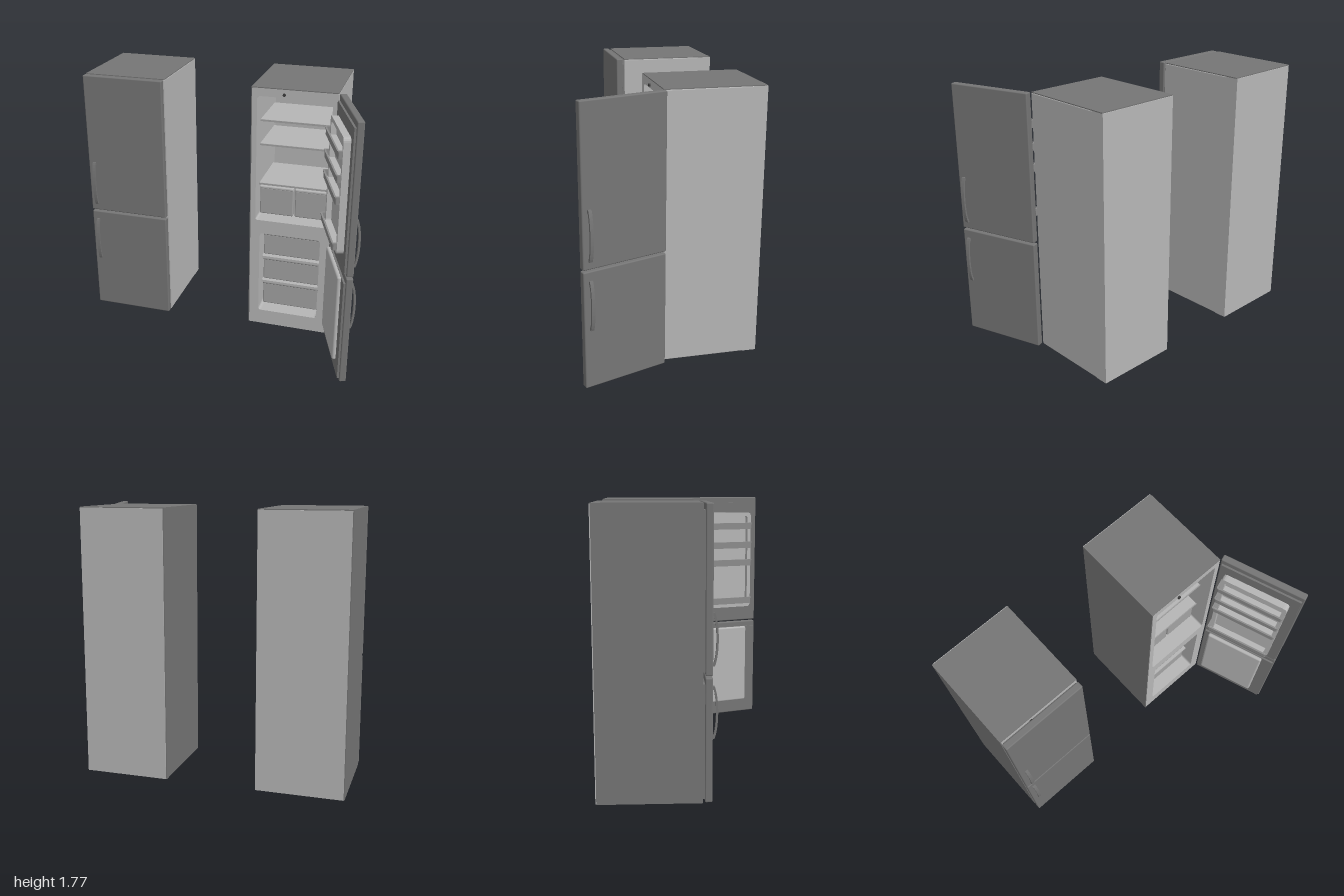
import * as THREE from 'three';
import { RoundedBoxGeometry } from 'three/addons/geometries/RoundedBoxGeometry.js';

const paint = (name, color) => {
  const m = new THREE.MeshStandardMaterial({ color });
  m.name = name;
  return m;
};
const light = paint('light liner', 0xb6b6b6);
const dark = paint('dark steel', 0x757575);
const mid = paint('drawer grey', 0xa2a2a2);
const binGrey = paint('bin grey', 0x8c8c8c);
const black = paint('knob black', 0x3c3c3c);

const H = 1.775, W = 0.57, FRONT = 0.05, BACK = -0.59;

function add(parent, name, geo, mat, x = 0, y = 0, z = 0) {
  const m = new THREE.Mesh(geo, mat);
  m.name = name;
  m.position.set(x, y, z);
  parent.add(m);
  return m;
}

// box given by its limits on each axis; r > 0 rounds the edges
function block(parent, name, mat, [x0, x1], [y0, y1], [z0, z1], r = 0) {
  const s = [x1 - x0, y1 - y0, z1 - z0];
  const geo = r ? new RoundedBoxGeometry(...s, 2, r) : new THREE.BoxGeometry(...s);
  return add(parent, name, geo, mat, (x0 + x1) / 2, (y0 + y1) / 2, (z0 + z1) / 2);
}

// rounded rectangle outline, as a Shape or as a Path for holes
function roundRect(Type, x0, x1, y0, y1, r) {
  const p = new Type();
  p.moveTo(x0 + r, y0);
  p.lineTo(x1 - r, y0).quadraticCurveTo(x1, y0, x1, y0 + r);
  p.lineTo(x1, y1 - r).quadraticCurveTo(x1, y1, x1 - r, y1);
  p.lineTo(x0 + r, y1).quadraticCurveTo(x0, y1, x0, y1 - r);
  p.lineTo(x0, y0 + r).quadraticCurveTo(x0, y0, x0 + r, y0);
  return p;
}

// extruded rectangular ring with wall thickness t
function ring(x0, x1, y0, y1, t, r, depth) {
  const s = roundRect(THREE.Shape, x0, x1, y0, y1, r);
  s.holes.push(roundRect(THREE.Path, x0 + t, x1 - t, y0 + t, y1 - t, r * 0.7));
  return new THREE.ExtrudeGeometry(s, { depth, bevelEnabled: false, curveSegments: 4 });
}

function makeCabinet() {
  const g = new THREE.Group();
  g.name = 'cabinet';
  const skin = 0.006, h = W / 2;

  // body with the two compartments cut out, and a closed back
  const body = roundRect(THREE.Shape, -h + skin, h, 0, H - skin, 0.006);
  body.holes.push(roundRect(THREE.Path, -0.245, 0.25, 0.83, 1.715, 0.015));
  body.holes.push(roundRect(THREE.Path, -0.212, 0.215, 0.11, 0.73, 0.02));
  const depth = FRONT - BACK - 0.09;
  add(g, 'cabinetBody', new THREE.ExtrudeGeometry(body, { depth, bevelEnabled: false, curveSegments: 4 }),
    light, 0, 0, FRONT - depth);
  block(g, 'cabinetBack', light, [-h + skin, h], [0, H - skin], [BACK, FRONT - depth]);

  // dark outer skins on the top and one side
  block(g, 'topPanel', dark, [-h, h], [H - skin, H], [BACK + 0.006, FRONT]);
  block(g, 'sidePanel', dark, [-h, -h + skin], [0, H], [BACK + 0.006, FRONT]);

  const knob = new THREE.CylinderGeometry(0.01, 0.01, 0.012, 16).rotateX(Math.PI / 2);
  add(g, 'lightSwitch', knob, black, -0.065, 1.735, FRONT + 0.006);

  // glass shelves with a slim front trim
  for (const y of [1.525, 1.355, 1.068]) {
    block(g, 'shelf', light, [-0.243, 0.248], [y - 0.004, y + 0.004], [-0.45, -0.04]);
    block(g, 'shelfTrim', mid, [-0.243, 0.248], [y - 0.006, y + 0.006], [-0.04, -0.034]);
  }

  // two crisper drawers side by side
  for (const [x0, x1] of [[-0.241, -0.004], [0.008, 0.246]]) {
    block(g, 'crisperDrawer', mid, [x0, x1], [0.834, 1.03], [-0.44, -0.06], 0.008);
    block(g, 'crisperLip', light, [x0, x1], [1.03, 1.048], [-0.44, -0.045], 0.006);
  }

  // three freezer drawers with shelves between them
  for (const [y0, y1] of [[0.115, 0.295], [0.32, 0.492], [0.52, 0.69]]) {
    block(g, 'freezerDrawer', mid, [-0.203, 0.207], [y0, y1 - 0.012], [-0.44, -0.05], 0.008);
    block(g, 'freezerDrawerLip', binGrey, [-0.203, 0.207], [y1 - 0.012, y1], [-0.44, -0.038], 0.005);
    block(g, 'freezerShelf', light, [-0.21, 0.213], [y1 + 0.004, y1 + 0.02], [-0.45, -0.03]);
  }
  return g;
}

// bowed flat bar whose ends meet the door
function makeHandle() {
  const s = new THREE.Shape();
  s.moveTo(0, -0.16);
  s.lineTo(0.014, -0.16);
  s.bezierCurveTo(0.043, -0.09, 0.043, 0.09, 0.014, 0.16);
  s.lineTo(0, 0.16);
  s.lineTo(0, 0.142);
  s.lineTo(0.008, 0.138);
  s.bezierCurveTo(0.028, 0.08, 0.028, -0.08, 0.008, -0.138);
  s.lineTo(0, -0.142);
  const geo = new THREE.ExtrudeGeometry(s, { depth: 0.022, bevelEnabled: false, curveSegments: 14 });
  return geo.rotateY(-Math.PI / 2).translate(0.011, 0, 0);
}

// doors hang from the hinge at x = 0 and reach towards -x; the inside faces -z
function makeDoors() {
  const g = new THREE.Group();
  g.name = 'doors';
  for (const [part, y0, y1, handleY] of [['fridge', 0.78, H, 0.99], ['freezer', 0.003, 0.768, 0.55]]) {
    block(g, part + 'Door', dark, [-W, 0], [y0, y1], [0.013, 0.058], 0.008);
    block(g, part + 'DoorSeal', dark, [-W + 0.012, -0.012], [y0 + 0.02, y1 - 0.04], [0, 0.015]);
    add(g, part + 'Handle', makeHandle(), dark, -0.525, handleY, 0.056);
  }

  // upper liner: raised rim around a flat panel
  add(g, 'fridgeDoorRim', ring(-0.5, -0.045, 0.9, 1.655, 0.028, 0.03, 0.044), light, 0, 0, -0.044);
  block(g, 'fridgeDoorPanel', light, [-0.48, -0.06], [0.92, 1.64], [-0.008, 0]);

  // bottle bins
  for (const y of [0.93, 1.235, 1.375, 1.525]) {
    const wall = ring(-0.495, -0.04, -0.005, 0.072, 0.006, 0.012, 0.045).rotateX(-Math.PI / 2);
    add(g, 'doorBin', wall, binGrey, 0, y, 0);
    const lip = ring(-0.499, -0.036, -0.005, 0.077, 0.011, 0.012, 0.008).rotateX(-Math.PI / 2);
    add(g, 'doorBinLip', lip, binGrey, 0, y + 0.042, 0);
    block(g, 'doorBinFloor', light, [-0.49, -0.045], [y + 0.001, y + 0.006], [-0.068, 0]);
  }

  // lower liner: one padded panel
  block(g, 'freezerDoorPanel', light, [-0.478, -0.045], [0.11, 0.73], [-0.026, 0.004], 0.014);
  return g;
}

function makeFridge(name, x, pivotX, pivotZ, angle) {
  const g = new THREE.Group();
  g.name = name;
  const cabinet = makeCabinet();
  cabinet.position.x = x;
  const doors = makeDoors();
  doors.position.set(pivotX, 0, pivotZ);
  doors.rotation.y = angle;
  g.add(cabinet, doors);
  return g;
}

export function createModel() {
  const model = new THREE.Group();
  model.name = 'fridgePair';
  model.add(makeFridge('closedFridge', -0.715, -0.43, FRONT, 0));
  model.add(makeFridge('openFridge', 0.457, 0.734, 0.058, THREE.MathUtils.degToRad(109)));
  return model;
}
